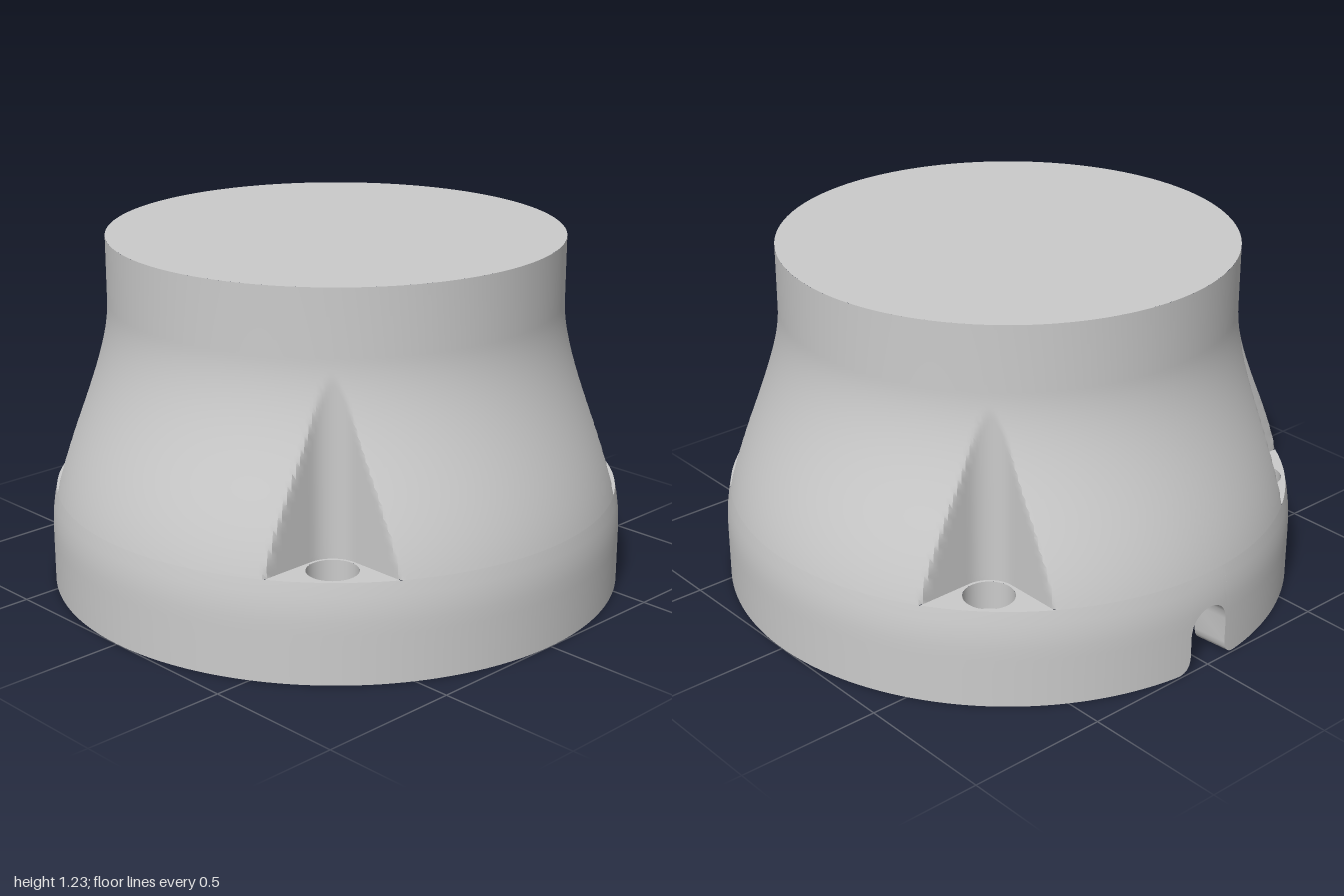
import * as THREE from 'three';
import { toCreasedNormals } from 'three/addons/utils/BufferGeometryUtils.js';

const TOP = 1.225, FLOOR = 0.34, CEILING = 0.72, LEDGE = 0.28;
const C = 0.625;                       // screw position on both axes
const HW = 0.08, ARCH = 0.14, FLARE = 0.05; // cable notch
const INSERTS = [[-0.13, 0.79], [-0.13, -0.79]];

// Bell profile: wide base easing into a narrower neck
const profile = y => 1 - 0.215 * THREE.MathUtils.smoothstep(y, 0.2, 1.0);

// Distance along a ray to a corner pocket whose inner corner is rounded by rho
function pocketEntry(a, rho) {
  const s = Math.min(Math.abs(Math.cos(a)), Math.abs(Math.sin(a)));
  const c = Math.sqrt(1 - s * s), p = C - rho;
  if (s < 1e-4) return Infinity;
  if (p * c / s >= C) return p / s;
  const d = C * (c + s);
  return d - Math.sqrt(Math.max(0, d * d - 2 * C * C + rho * rho));
}

// Distance along a ray to a round boss
function bossEntry(a, x, z, rho) {
  const d = x * Math.cos(a) + z * Math.sin(a);
  const k = d * d - (x * x + z * z - rho * rho);
  return d > 0 && k >= 0 ? d - Math.sqrt(k) : Infinity;
}

const outerR = (a, y, upper) => Math.min(profile(y), upper ? pocketEntry(a, 0.095) : Infinity);

function innerR(a, y, upper) {
  let r = profile(y) - 0.06;
  if (Math.cos(a) < -0.5) r = Math.min(r, 0.87 / -Math.cos(a)); // flat pad at the notch
  for (const [x, z] of INSERTS) r = Math.min(r, bossEntry(a, x, z, 0.09));
  if (upper) return Math.min(r, pocketEntry(a, 0.145));
  for (const sx of [-1, 1]) for (const sz of [-1, 1]) r = Math.min(r, bossEntry(a, sx * C, sz * C, 0.14));
  return r;
}

// Bottom edge height around the cable notch; f is the angle from the -x axis
function notchY(f) {
  const z = Math.abs(f);
  if (z < HW) return ARCH + Math.sqrt(HW * HW - z * z);
  const d = z - HW;
  return d < FLARE ? FLARE - Math.sqrt(FLARE * FLARE - (FLARE - d) ** 2) : 0;
}

const polar = (r, a, y) => [r * Math.cos(a), y, r * Math.sin(a)];

// Loft a grid of points between angle columns and rows
function loft(cols, rows, point, flip) {
  const pos = [], idx = [], n = rows.length;
  cols.forEach((f, i) => rows.forEach((row, j) => {
    pos.push(...point(f, row));
    if (!i || !j) return;
    const d = i * n + j, c = d - 1, b = d - n, a = b - 1;
    if (flip) idx.push(a, d, b, a, c, d);
    else idx.push(a, b, d, a, d, c);
  }));
  const g = new THREE.BufferGeometry();
  g.setAttribute('position', new THREE.Float32BufferAttribute(pos, 3));
  g.setIndex(idx);
  return toCreasedNormals(g, 0.5);
}

const range = (n, a, b) => Array.from({ length: n + 1 }, (_, i) => a + (b - a) * i / n);

function circleHole(x, y, r) {
  return new THREE.Path().absarc(x, y, r, 0, Math.PI * 2, true);
}

export function createModel() {
  const group = new THREE.Group();
  const mat = new THREE.MeshStandardMaterial({ color: 0xcccccc });
  const inside = new THREE.MeshStandardMaterial({ color: 0xcccccc, side: THREE.BackSide });
  const add = (name, geo, parent = group, m = mat) => {
    const mesh = new THREE.Mesh(geo, m);
    mesh.name = name;
    parent.add(mesh);
    return mesh;
  };
  const bore = (name, r, y0, y1, x, z, parent) => {
    const g = new THREE.CylinderGeometry(r, r, y1 - y0, 40, 1, true);
    add(name, g.translate(x, (y0 + y1) / 2, z), parent, inside);
  };

  // Angle columns, denser around the notch
  const end = HW + FLARE;
  const cols = [...range(480, -Math.PI, Math.PI).filter(f => Math.abs(f) > end + 0.002),
    ...range(10, -end, -HW), ...range(24, -HW + 1e-5, HW - 1e-5), ...range(10, HW, end)].sort((a, b) => a - b);

  // Outer skin: base band below the pockets, then the pocketed bell
  add('baseBand', loft(cols, range(8, 0, 1), (f, t) => {
    const y = THREE.MathUtils.lerp(notchY(f), FLOOR, t), a = f + Math.PI;
    return polar(outerR(a, y, false), a, y);
  }));
  add('bellBody', loft(cols, [...range(36, FLOOR, 1), TOP], (f, y) => {
    const a = f + Math.PI;
    return polar(outerR(a, y, true), a, y);
  }));
  add('topFace', new THREE.CircleGeometry(0.785, 160).rotateX(-Math.PI / 2).translate(0, TOP, 0));

  // Hollow underside with screw columns and insert bosses
  add('lowerCavity', loft(cols, range(6, 0, 1), (f, t) => {
    const y = THREE.MathUtils.lerp(notchY(f), LEDGE, t), a = f + Math.PI;
    return polar(innerR(a, y, false), a, y);
  }, true));
  const upperRows = [[LEDGE, false], ...range(18, LEDGE, CEILING).map(y => [y, true])];
  add('upperCavity', loft(cols, upperRows, (f, [y, up]) => {
    const a = f + Math.PI;
    return polar(innerR(a, y, up), a, y);
  }, true));

  // Flat contour points of a radius rule, for the horizontal faces
  const contour = (list, rule, y, up) => list.map(f => {
    const a = f + Math.PI, r = rule(a, y, up);
    return new THREE.Vector2(r * Math.cos(a), r * Math.sin(a));
  });
  const ceiling = new THREE.Shape(contour(cols.slice(0, -1), innerR, CEILING, true));
  add('cavityCeiling', new THREE.ShapeGeometry(ceiling).rotateX(Math.PI / 2).translate(0, CEILING, 0));

  // Bottom rim, open at the notch
  const ring = [...cols.filter(f => f >= end - 1e-6),
    ...cols.filter(f => f <= -end + 1e-6 && f > -Math.PI + 1e-6)];
  const rim = new THREE.Shape([...contour(ring, outerR, 0, false), ...contour(ring, innerR, 0, false).reverse()]);
  for (const sx of [-1, 1]) for (const sz of [-1, 1]) rim.holes.push(circleHole(sx * C, sz * C, 0.06));
  for (const [x, z] of INSERTS) rim.holes.push(circleHole(x, z, 0.05));
  add('bottomRim', new THREE.ShapeGeometry(rim, 20).rotateX(Math.PI / 2));

  // Walls of the cable notch
  add('cableNotch', loft(cols.filter(f => Math.abs(f) <= end + 1e-6), [0, 1], (f, t) => {
    const y = notchY(f), a = f + Math.PI;
    return polar(t ? innerR(a, y, false) : outerR(a, y, false), a, y);
  }, true));

  // Pocket floors with counterbored through holes
  const p = C - 0.095, R = profile(FLOOR), a0 = Math.asin(p / R);
  for (let i = 0; i < 4; i++) {
    const pocket = new THREE.Group();
    pocket.name = 'screwPocket';
    pocket.rotation.y = i * Math.PI / 2;
    group.add(pocket);
    const s = new THREE.Shape();
    s.absarc(0, 0, R, a0, Math.PI / 2 - a0, false);
    s.absarc(C, C, 0.095, Math.PI, Math.PI * 1.5, false);
    s.holes.push(circleHole(C, C, 0.085));
    add('pocketFloor', new THREE.ShapeGeometry(s, 32).rotateX(-Math.PI / 2).translate(0, FLOOR, 0), pocket);
    add('counterboreSeat', new THREE.RingGeometry(0.06, 0.085, 40).rotateX(-Math.PI / 2).translate(C, 0.24, -C), pocket);
    bore('counterbore', 0.085, 0.24, FLOOR, C, -C, pocket);
    bore('screwHole', 0.06, 0, 0.24, C, -C, pocket);
  }

  // Blind insert holes
  for (const [x, z] of INSERTS) {
    bore('insertHole', 0.05, 0, 0.25, x, z, group);
    add('insertHoleEnd', new THREE.CircleGeometry(0.05, 40).rotateX(Math.PI / 2).translate(x, 0.25, z));
  }
  return group;
}
